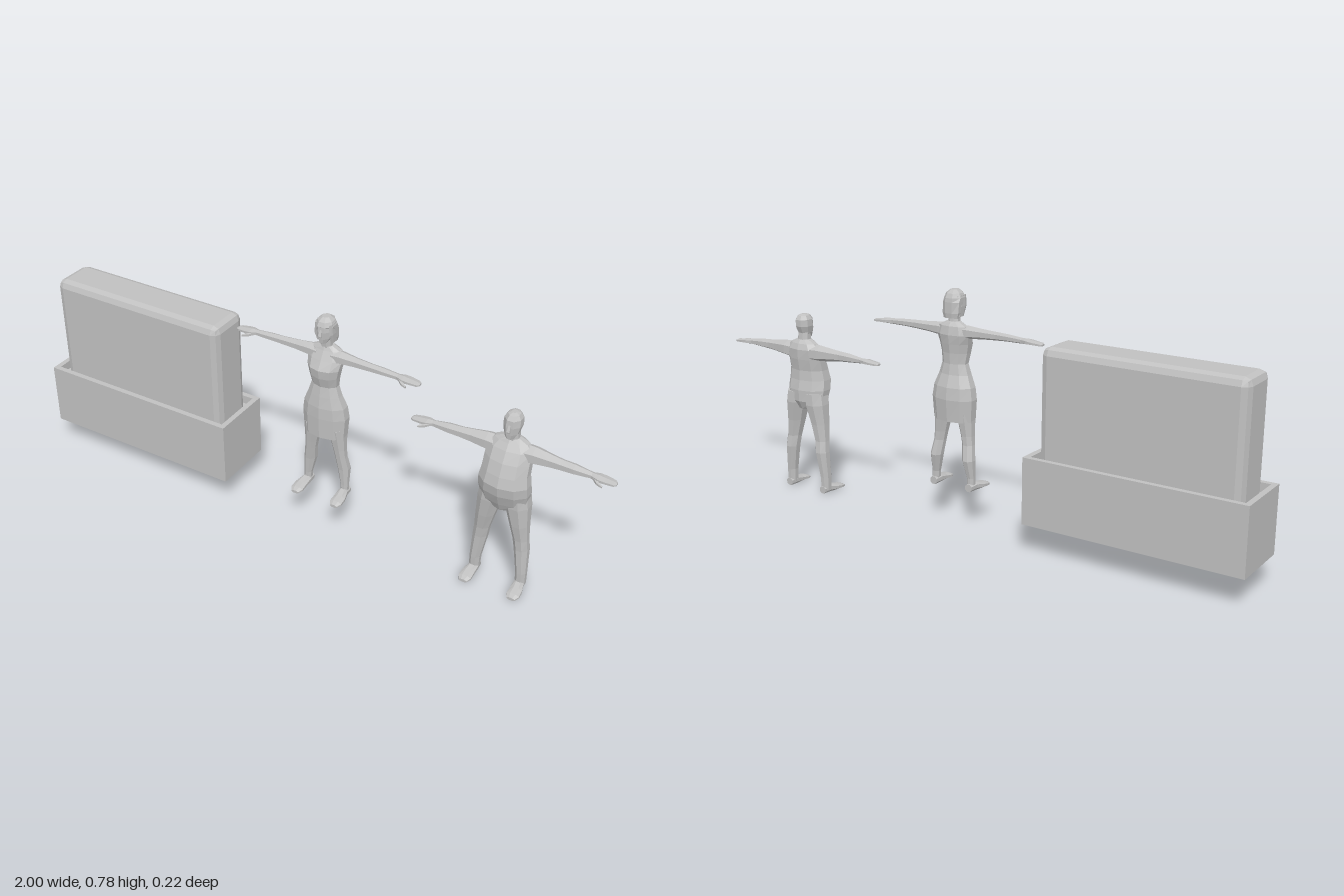
import * as THREE from 'three';
import { RoundedBoxGeometry } from 'three/addons/geometries/RoundedBoxGeometry.js';

const stone = new THREE.MeshStandardMaterial({ color: 0xc0c0c0, flatShading: true });
stone.name = 'plain grey';

function part(name, geometry) {
  const geo = geometry.index ? geometry.toNonIndexed() : geometry;
  geo.computeVertexNormals();
  const mesh = new THREE.Mesh(geo, stone);
  mesh.name = name;
  return mesh;
}

// How (along, a, b) of a ring maps to x, y, z for each loft direction
const axes = {
  x: (t, a, b) => [t, b, a],
  y: (t, a, b) => [a, t, b],
  z: (t, a, b) => [b, a, t],
};

// Capped loft through rings [along, aCentre, aRadius, bCentre, bRadius], along ascending
function loft(axis, rings, sides = 8) {
  const pos = [], index = [], k = 1 / Math.cos(Math.PI / sides);
  for (const [t, ac, ar, bc, br] of rings) {
    for (let i = 0; i < sides; i++) {
      const w = ((i + 0.5) / sides) * Math.PI * 2;
      pos.push(...axes[axis](t, ac + Math.cos(w) * ar * k, bc + Math.sin(w) * br * k));
    }
  }
  for (let r = 0; r < rings.length - 1; r++) {
    for (let i = 0; i < sides; i++) {
      const j = (i + 1) % sides, p = r * sides, q = p + sides;
      index.push(p + i, q + i, p + j, p + j, q + i, q + j);
    }
  }
  const top = (rings.length - 1) * sides;
  for (let i = 1; i < sides - 1; i++) {
    index.push(0, i, i + 1, top, top + i + 1, top + i);
  }
  const geo = new THREE.BufferGeometry();
  geo.setAttribute('position', new THREE.Float32BufferAttribute(pos, 3));
  geo.setIndex(index);
  return geo;
}

// Arm and hand reaching sideways at height y
function arm(side, y, shoulder, thick) {
  const g = new THREE.Group();
  g.name = side > 0 ? 'leftArm' : 'rightArm';
  const along = (rings) => {
    const r = rings.map(([t, ...rest]) => [side * t, ...rest]);
    return side > 0 ? r : r.reverse();
  };
  g.add(part('sleeve', loft('x', along([
    [shoulder - 0.03, -0.004, 0.026 * thick, y - 0.002, 0.024 * thick],
    [shoulder, -0.004, 0.024 * thick, y, 0.022 * thick],
    [shoulder + 0.05, -0.002, 0.018 * thick, y, 0.017 * thick],
    [0.16, 0, 0.015 * thick, y, 0.014 * thick],
    [0.2, 0, 0.015 * thick, y, 0.012 * thick],
    [0.255, 0, 0.01, y - 0.002, 0.008],
  ]), 6)));
  g.add(part('hand', loft('x', along([
    [0.25, 0, 0.01, y - 0.002, 0.008],
    [0.272, 0.001, 0.018, y - 0.002, 0.008],
    [0.292, 0, 0.018, y - 0.003, 0.006],
    [0.318, 0, 0.014, y - 0.005, 0.005],
    [0.326, 0, 0.008, y - 0.006, 0.003],
  ]), 6)));
  g.add(part('thumb', loft('x', along([
    [0.258, 0.006, 0.006, y - 0.004, 0.005],
    [0.274, 0.021, 0.006, y - 0.007, 0.005],
    [0.292, 0.029, 0.003, y - 0.01, 0.003],
  ]), 5)));
  return g;
}

// Leg from rings [y, xCentre, xRadius, zCentre, zRadius] plus a wedge foot
function leg(side, rings, footX, ground, heel, toe) {
  const g = new THREE.Group();
  g.name = side > 0 ? 'leftLeg' : 'rightLeg';
  g.add(part('legShape', loft('y', rings.map(([y, x, ...rest]) => [y, side * x, ...rest]))));
  const x = side * footX, out = side * 0.004;
  g.add(part('foot', loft('z', [
    [heel, ground + 0.013, 0.013, x, 0.013],
    [heel + 0.03, ground + 0.015, 0.015, x, 0.016],
    [heel + 0.06, ground + 0.011, 0.011, x + out, 0.02],
    [toe - 0.015, ground + 0.008, 0.008, x + out, 0.021],
    [toe, ground + 0.005, 0.005, x + out, 0.013],
  ])));
  return g;
}

// Head with the chin at height y and the face towards +z
function head(y, h, rx) {
  const g = new THREE.Group();
  g.name = 'head';
  g.add(part('skull', loft('y', [
    [y, 0, rx * 0.45, 0.014, 0.015],
    [y + h * 0.2, 0, rx * 0.8, 0.005, 0.026],
    [y + h * 0.5, 0, rx, 0.0, 0.032],
    [y + h * 0.78, 0, rx * 0.95, -0.001, 0.031],
    [y + h * 0.94, 0, rx * 0.65, -0.001, 0.022],
    [y + h, 0, rx * 0.3, -0.001, 0.01],
  ])));
  g.add(part('nose', loft('y', [
    [y + h * 0.3, 0, 0.005, 0.03, 0.008],
    [y + h * 0.36, 0, 0.005, 0.031, 0.008],
    [y + h * 0.6, 0, 0.003, 0.028, 0.004],
  ], 4)));
  return g;
}

function woman() {
  const g = new THREE.Group();
  g.name = 'woman';
  // Fitted dress from hem to neckline
  g.add(part('dress', loft('y', [
    [0.357, 0, 0.072, -0.005, 0.042],
    [0.43, 0, 0.077, -0.006, 0.046],
    [0.47, 0, 0.071, -0.004, 0.044],
    [0.51, 0, 0.055, 0, 0.035],
    [0.545, 0, 0.044, 0, 0.03],
    [0.58, 0, 0.049, 0.005, 0.036],
    [0.61, 0, 0.055, 0.005, 0.04],
    [0.64, 0, 0.06, -0.005, 0.034],
    [0.668, 0, 0.05, -0.01, 0.024],
    [0.682, 0, 0.022, -0.008, 0.017],
  ], 10)));
  g.add(part('neck', loft('y', [
    [0.665, 0, 0.019, -0.008, 0.017], [0.72, 0, 0.016, -0.001, 0.016],
  ])));
  const skull = head(0.7, 0.079, 0.026);
  g.add(skull);
  // Bobbed hair: back and crown, then a lock on each side of the face
  skull.add(part('hair', loft('y', [
    [0.694, 0, 0.026, -0.021, 0.015],
    [0.71, 0, 0.03, -0.02, 0.018],
    [0.745, 0, 0.031, -0.012, 0.026],
    [0.758, 0, 0.031, -0.002, 0.034],
    [0.772, 0, 0.025, -0.002, 0.028],
    [0.783, 0, 0.012, -0.002, 0.014],
  ])));
  for (const s of [-1, 1]) {
    skull.add(part('hairLock', loft('y', [
      [0.698, s * 0.025, 0.004, -0.008, 0.016],
      [0.73, s * 0.027, 0.004, 0, 0.02],
      [0.765, s * 0.024, 0.005, 0.002, 0.02],
    ], 6)));
    g.add(arm(s, 0.65, 0.055, 0.85));
    g.add(leg(s, [
      [0.14, 0.07, 0.012, -0.012, 0.014],
      [0.17, 0.069, 0.013, -0.012, 0.014],
      [0.23, 0.063, 0.02, -0.017, 0.022],
      [0.28, 0.056, 0.019, -0.008, 0.02],
      [0.31, 0.052, 0.021, -0.006, 0.022],
      [0.39, 0.042, 0.03, -0.004, 0.032],
    ], 0.07, 0.125, -0.03, 0.07));
  }
  g.position.set(0.055, 0, 0);
  return g;
}

function man() {
  const g = new THREE.Group();
  g.name = 'man';
  // Heavy torso with a rounded belly
  g.add(part('torso', loft('y', [
    [0.3, 0, 0.03, 0.006, 0.032],
    [0.33, 0, 0.074, 0.006, 0.046],
    [0.37, 0, 0.08, 0.014, 0.055],
    [0.405, 0, 0.078, 0.021, 0.055],
    [0.44, 0, 0.072, 0.018, 0.05],
    [0.48, 0, 0.071, 0.008, 0.046],
    [0.515, 0, 0.07, -0.002, 0.038],
    [0.535, 0, 0.052, -0.005, 0.028],
    [0.548, 0, 0.025, -0.004, 0.02],
  ], 10)));
  g.add(part('neck', loft('y', [
    [0.53, 0, 0.023, -0.004, 0.021], [0.58, 0, 0.02, -0.001, 0.02],
  ])));
  g.add(head(0.553, 0.082, 0.027));
  for (const s of [-1, 1]) {
    g.add(arm(s, 0.505, 0.075, 1.1));
    g.add(leg(s, [
      [0.012, 0.079, 0.016, -0.005, 0.018],
      [0.06, 0.078, 0.017, -0.004, 0.02],
      [0.15, 0.069, 0.023, -0.007, 0.025],
      [0.19, 0.064, 0.024, -0.002, 0.024],
      [0.25, 0.055, 0.03, 0.002, 0.032],
      [0.32, 0.044, 0.038, 0.002, 0.042],
      [0.36, 0.04, 0.036, 0.004, 0.042],
    ], 0.078, 0, -0.025, 0.075));
  }
  g.position.set(0.672, 0, -0.03);
  return g;
}

function rectangle(Type, w, d) {
  return new Type([[-w, -d], [w, -d], [w, d], [-w, d]].map(([x, y]) => new THREE.Vector2(x / 2, y / 2)));
}

// Open trough with a chamfered block standing in it
function planter() {
  const g = new THREE.Group();
  g.name = 'planter';
  const outline = rectangle(THREE.Shape, 0.73, 0.218);
  outline.holes.push(rectangle(THREE.Path, 0.694, 0.182));
  const walls = part('troughWalls', new THREE.ExtrudeGeometry(outline, { depth: 0.218, bevelEnabled: false })
    .rotateX(-Math.PI / 2));
  walls.position.y = 0.097;
  const soil = part('troughFilling', new THREE.BoxGeometry(0.7, 0.188, 0.188));
  soil.position.y = 0.1915;
  const hedge = part('hedge', new RoundedBoxGeometry(0.66, 0.408, 0.152, 1, 0.025));
  hedge.position.y = 0.454;
  g.add(walls, soil, hedge);
  g.position.x = -0.635;
  return g;
}

export function createModel() {
  const model = new THREE.Group();
  model.name = 'planterWithTwoPeople';
  model.add(planter(), woman(), man());
  return model;
}
